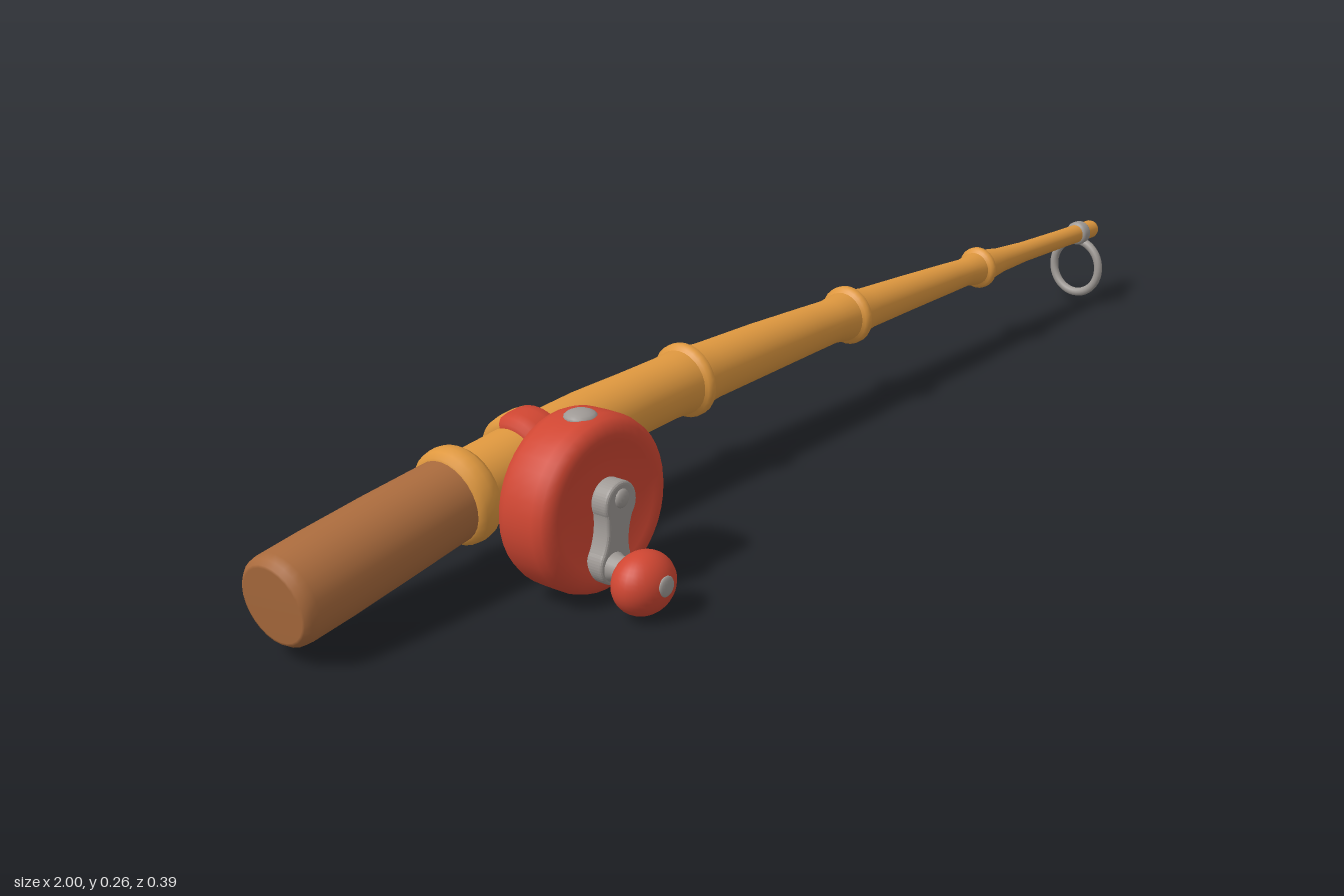
import * as THREE from 'three';

const mat = (name, color, side = THREE.FrontSide) => {
  const m = new THREE.MeshStandardMaterial({ color, side });
  m.name = name;
  return m;
};

const ROD_Z = -0.125;
const centreline = new THREE.CatmullRomCurve3([
  [-1, 0.085], [-0.66, 0.131], [-0.43, 0.152], [-0.18, 0.162], [0.23, 0.159], [0.615, 0.147], [1, 0.131],
].map(([x, y]) => new THREE.Vector3(x, y, 0)));
const samples = centreline.getPoints(240);

// height and slope of the bent rod at x
function rodAt(x) {
  let i = 0;
  while (i < samples.length - 2 && samples[i + 1].x < x) i++;
  const a = samples[i], b = samples[i + 1];
  const slope = (b.y - a.y) / (b.x - a.x);
  return { y: a.y + (x - a.x) * slope, angle: Math.atan(slope) };
}

const profile = (pts) => pts.map(([along, r]) => new THREE.Vector2(r, along));

// lathe of [x, radius] points, laid along x and bent to the rod's curve
function bentLathe(pts, start = 0, length = Math.PI * 2) {
  const g = new THREE.LatheGeometry(profile(pts), 28, start, length);
  g.rotateZ(-Math.PI / 2);
  const p = g.attributes.position, n = g.attributes.normal;
  for (let i = 0; i < p.count; i++) {
    const x = p.getX(i), y = p.getY(i);
    const c = rodAt(x), s = Math.sin(c.angle), k = Math.cos(c.angle);
    p.setXYZ(i, x - y * s, c.y + y * k, p.getZ(i) + ROD_Z);
    const nx = n.getX(i), ny = n.getY(i);
    n.setXYZ(i, nx * k - ny * s, nx * s + ny * k, n.getZ(i));
  }
  return g;
}

// lathe of [z, radius] points, turned about the z axis
const zLathe = (pts, seg = 40) =>
  new THREE.LatheGeometry(profile(pts), seg).rotateX(Math.PI / 2);

export function createModel() {
  const group = new THREE.Group();
  const bamboo = mat('bamboo', 0xdf983f);
  const brown = mat('brown grip', 0xaa6b3d);
  const red = mat('red paint', 0xcf4632);
  const metal = mat('grey metal', 0x9e9995);
  const add = (name, geo, material, x = 0, y = 0, z = 0) => {
    const m = new THREE.Mesh(geo, material);
    m.name = name;
    m.position.set(x, y, z);
    group.add(m);
    return m;
  };

  // grip with a softly rounded butt
  add('grip', bentLathe([
    [-0.99, 0], [-0.99, 0.054], [-0.989, 0.058], [-0.982, 0.064], [-0.97, 0.066],
    [-0.9, 0.066], [-0.8, 0.064], [-0.7, 0.061], [-0.64, 0.059],
  ]), brown);

  // tapering cane, flaring towards each joint
  add('cane', bentLathe([
    [-0.66, 0.055], [-0.6, 0.054], [-0.5, 0.054], [-0.4, 0.053], [-0.3, 0.049], [-0.22, 0.048],
    [-0.195, 0.05], [-0.16, 0.048], [-0.13, 0.045], [0, 0.042], [0.12, 0.038], [0.18, 0.036],
    [0.215, 0.04], [0.25, 0.038], [0.28, 0.034], [0.4, 0.03], [0.52, 0.026], [0.57, 0.024],
    [0.6, 0.028], [0.635, 0.028], [0.68, 0.022], [0.76, 0.018], [0.9, 0.0165],
    [0.993, 0.0165], [0.999, 0.0145], [0.9995, 0],
  ]), bamboo);

  // raised joints
  for (const [x, r, w] of [[-0.18, 0.058, 0.016], [0.23, 0.048, 0.016], [0.615, 0.036, 0.014]]) {
    add('caneJoint', bentLathe([
      [x - w, r - 0.013], [x - w * 0.5, r - 0.004], [x - w * 0.25, r], [x + w * 0.25, r],
      [x + w * 0.5, r - 0.004], [x + w, r - 0.013],
    ]), bamboo);
  }

  // collar between grip and cane
  add('gripCollar', bentLathe([
    [-0.682, 0.056], [-0.681, 0.064], [-0.673, 0.07], [-0.66, 0.072], [-0.648, 0.07],
    [-0.64, 0.064], [-0.639, 0.052],
  ]), bamboo);

  // reel band: red on the reel side, plain at the back
  const band = [
    [-0.552, 0.052], [-0.551, 0.06], [-0.544, 0.067], [-0.53, 0.069], [-0.51, 0.069],
    [-0.496, 0.067], [-0.489, 0.06], [-0.488, 0.052],
  ];
  const half = 1.9;
  add('reelBandFront', bentLathe(band, -half, half * 2), red);
  add('reelBandBack', bentLathe(band, half, Math.PI * 2 - half * 2), bamboo);

  // reel drum with dished faces
  const RX = -0.57, RY = 0.132;
  add('reelDrum', zLathe([
    [-0.012, 0], [-0.013, 0.05], [-0.018, 0.078], [-0.025, 0.092], [-0.027, 0.102], [-0.024, 0.112],
    [-0.016, 0.121], [-0.003, 0.126], [0.02, 0.127], [0.048, 0.127], [0.062, 0.123],
    [0.07, 0.114], [0.073, 0.103], [0.071, 0.092], [0.066, 0.078], [0.062, 0.05], [0.061, 0],
  ]), red, RX, RY);

  // studs on top and underneath
  for (const s of [1, -1]) {
    const stud = add('reelStud', new THREE.SphereGeometry(0.024, 18, 10), metal,
      RX - 0.005, RY + s * 0.123, 0.03);
    stud.scale.set(1, s > 0 ? 0.45 : 0.3, 1);
  }

  // waisted crank arm
  const L = 0.085, R = 0.031, W = 0.021;
  const arm = new THREE.Shape();
  arm.absarc(0, 0, R - 0.005, -0.6, Math.PI + 0.6, false);
  arm.quadraticCurveTo(-W + 0.008, -L / 2, -R * 0.7, -L + 0.015);
  arm.absarc(0, -L, R - 0.005, Math.PI - 0.6, Math.PI * 2 + 0.6, false);
  arm.quadraticCurveTo(W - 0.008, -L / 2, (R - 0.005) * Math.cos(0.6), -(R - 0.005) * Math.sin(0.6));
  const crank = add('crankArm', new THREE.ExtrudeGeometry(arm, {
    depth: 0.02, bevelEnabled: true, bevelThickness: 0.005, bevelSize: 0.005,
    bevelSegments: 3, curveSegments: 16,
  }), metal, -0.567, 0.143, 0.068);
  crank.rotation.z = -0.16;

  const bolt = add('crankBolt', new THREE.SphereGeometry(0.014, 16, 10), metal, -0.567, 0.15, 0.092);
  bolt.scale.z = 0.5;

  // crank handle
  const KX = -0.585, KY = 0.05;
  add('knobStem', zLathe([
    [0.085, 0.024], [0.094, 0.021], [0.1, 0.018], [0.12, 0.018],
  ], 20), metal, KX, KY + 0.006);
  const knob = add('crankKnob', new THREE.SphereGeometry(1, 28, 20), red, KX - 0.005, KY, 0.149);
  knob.scale.set(0.05, 0.045, 0.04);
  const tip = add('knobTip', new THREE.SphereGeometry(0.015, 16, 10), metal, KX - 0.003, KY + 0.004, 0.187);
  tip.scale.z = 0.3;

  // line guide hanging under the tip
  const ring = add('lineGuide', new THREE.TorusGeometry(0.048, 0.0075, 12, 40).rotateY(Math.PI / 2),
    metal, 0.953, 0.068, -0.128);
  ring.scale.set(1, 1.03, 1);
  ring.rotation.z = -0.06;
  add('guideClasp', bentLathe([
    [0.94, 0.014], [0.941, 0.019], [0.946, 0.0215], [0.958, 0.0215], [0.963, 0.019], [0.964, 0.014],
  ]), metal);

  return group;
}
